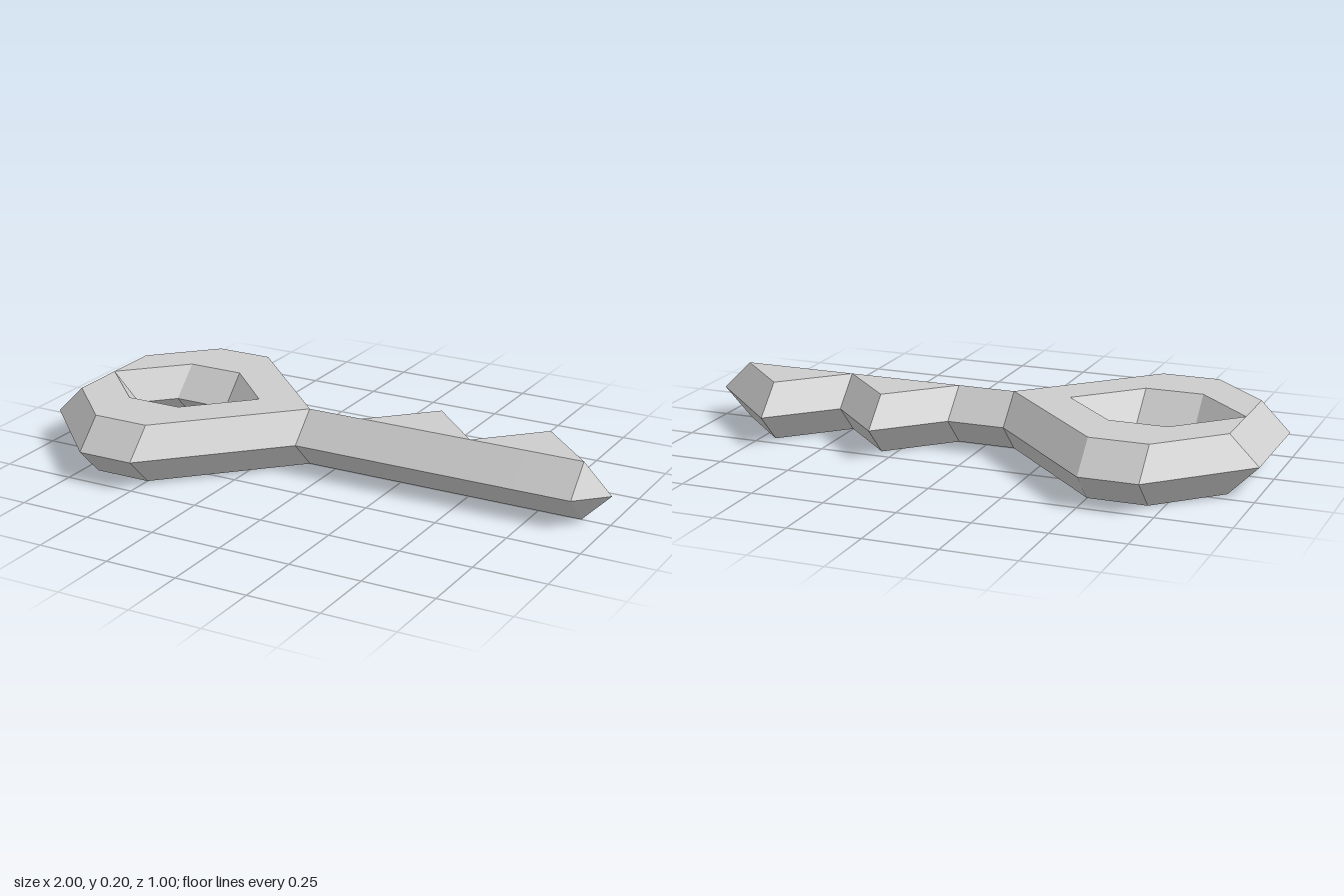
import * as THREE from 'three';

const HEIGHTS = [0.1, 0.2, 0.2, 0.1]; // mid edge, top edge, top edge, mid edge

// Skin the upper half across a row of [x, z] cross-sections, then mirror it below
// (and across z when asked).
function bevelledStrip(sections, mirrorZ) {
  const positions = [];
  const mirrors = mirrorZ ? [1, -1] : [1];
  const point = (i, j) => new THREE.Vector3(sections[i][j][0], HEIGHTS[j], sections[i][j][1]);

  const addTriangle = (a, b, c) => {
    if (new THREE.Triangle(a, b, c).getArea() < 1e-6) return; // collapsed corner
    for (const sz of mirrors) {
      for (const sy of [1, -1]) {
        const order = sy * sz > 0 ? [a, b, c] : [a, c, b];
        for (const p of order) positions.push(p.x, 0.1 + sy * (p.y - 0.1), p.z * sz);
      }
    }
  };

  for (let i = 0; i < sections.length - 1; i++) {
    for (let j = 0; j < 3; j++) {
      const a = point(i, j), b = point(i + 1, j);
      const c = point(i + 1, j + 1), d = point(i, j + 1);
      addTriangle(a, b, c);
      addTriangle(a, c, d);
    }
  }
  const geometry = new THREE.BufferGeometry();
  geometry.setAttribute('position', new THREE.Float32BufferAttribute(positions, 3));
  geometry.computeVertexNormals();
  return geometry;
}

export function createModel() {
  const group = new THREE.Group();
  group.name = 'key';
  const material = new THREE.MeshStandardMaterial({ color: 0xcccccc, flatShading: true });

  const add = (name, geometry) => {
    const mesh = new THREE.Mesh(geometry, material);
    mesh.name = name;
    group.add(mesh);
  };

  // Bow: half ring from the far end round to the shaft, outer edge to hole edge
  add('bow', bevelledStrip([
    [[-1, 0], [-0.9, 0], [-0.9, 0], [-0.8, 0]],
    [[-1, 0.2], [-0.9, 0.2], [-0.9, 0], [-0.8, 0]],
    [[-0.7, 0.5], [-0.7, 0.4], [-0.7, 0.2], [-0.7, 0.1]],
    [[-0.5, 0.5], [-0.5, 0.4], [-0.5, 0.2], [-0.5, 0.1]],
    [[-0.1, 0.1], [-0.1, 0], [-0.3, 0], [-0.4, 0]],
  ], true));

  // Shaft: straight front edge, back edge pushed out into two pointed teeth
  const shaftSection = (x, tooth) => [[x, 0.1], [x, 0], [x, -tooth], [x, -tooth - 0.1]];
  const shaft = [[-0.1, 0], [0.1, 0], [0.3, 0.2], [0.5, 0], [0.7, 0.2], [0.9, 0]]
    .map(([x, tooth]) => shaftSection(x, tooth));
  shaft.push([[1, 0], [0.9, 0], [0.9, 0], [1, 0]]); // pointed tip
  add('shaftWithTeeth', bevelledStrip(shaft, false));

  return group;
}
